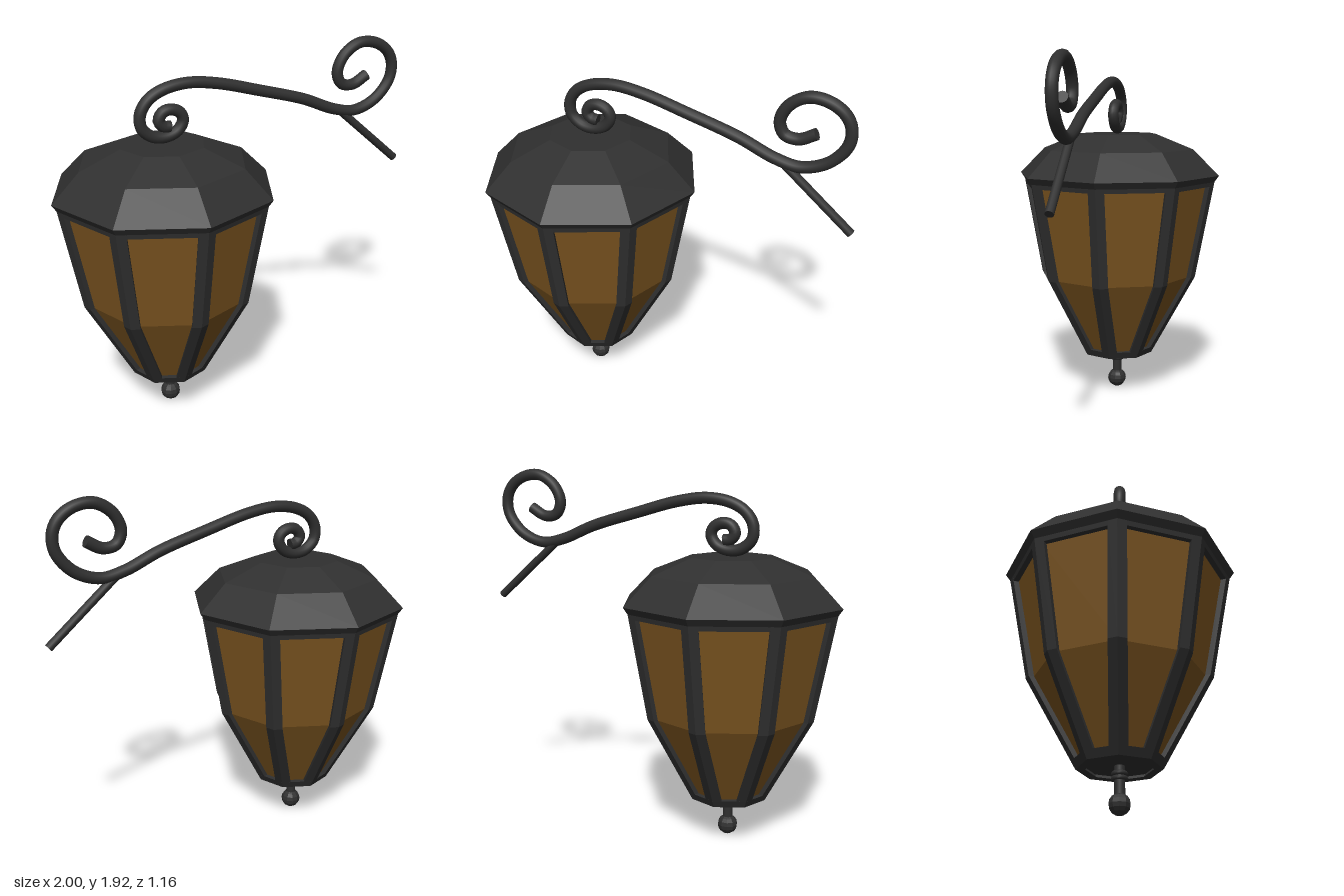
import * as THREE from 'three';

const CX = -0.42; // lantern axis
const SIDES = 8;
const metal = new THREE.MeshStandardMaterial({ color: 0x303030, flatShading: true });
const smoothMetal = new THREE.MeshStandardMaterial({ color: 0x303030 });
const amber = new THREE.MeshStandardMaterial({ color: 0x7c5520, flatShading: true });

// Corner radius of the cage at three heights: [radius, y]
const CAGE = [[0.205, 0.22], [0.455, 0.68], [0.56, 1.24]];

function add(parent, name, geometry, material, x = 0, y = 0, z = 0) {
  const mesh = new THREE.Mesh(geometry, material);
  mesh.name = name;
  mesh.position.set(x, y, z);
  parent.add(mesh);
  return mesh;
}

function lathe(points, segments = SIDES) {
  return new THREE.LatheGeometry(points.map(([r, y]) => new THREE.Vector2(r, y)), segments);
}

// Angled bar wrapping one corner of the cage, lofted through the cage heights
function postGeometry(w, d) {
  const a = Math.PI / SIDES, s = Math.sin(a), c = Math.cos(a);
  const pos = [], idx = [];
  for (const [r, y] of CAGE) {
    const section = [
      [r, 0], [r - w * s, w * c], [r - w * s - d * c, w * c - d * s],
      [r - d / c, 0], [r - w * s - d * c, -w * c + d * s], [r - w * s, -w * c],
    ];
    for (const [x, z] of section) pos.push(x, y, z);
  }
  for (let k = 0; k < CAGE.length - 1; k++) {
    for (let i = 0; i < 6; i++) {
      const j = (i + 1) % 6, lo = k * 6, hi = lo + 6;
      idx.push(lo + i, hi + i, hi + j, lo + i, hi + j, lo + j);
    }
  }
  const g = new THREE.BufferGeometry();
  g.setAttribute('position', new THREE.Float32BufferAttribute(pos, 3));
  g.setIndex(idx);
  g.computeVertexNormals();
  return g;
}

function tube(points, radius, segments) {
  const curve = new THREE.CatmullRomCurve3(points.map(([x, y]) => new THREE.Vector3(x, y, 0)));
  const group = new THREE.Group();
  add(group, 'bar', new THREE.TubeGeometry(curve, segments, radius, 12), smoothMetal);
  // Flat caps on both ends
  for (const t of [0, 1]) {
    const cap = add(group, 'barEnd', new THREE.CircleGeometry(radius, 12), smoothMetal);
    const p = curve.getPointAt(t);
    cap.position.copy(p);
    cap.lookAt(p.clone().addScaledVector(curve.getTangentAt(t), t ? 1 : -1));
  }
  return group;
}

export function createModel() {
  const model = new THREE.Group();
  model.name = 'wallLantern';

  const lantern = new THREE.Group();
  lantern.name = 'lantern';
  lantern.position.x = CX;
  model.add(lantern);

  // Faceted roof with a short turned-in rim
  add(lantern, 'roof', lathe([
    [0, 1.225], [0.555, 1.225], [0.582, 1.264], [0.436, 1.41], [0.222, 1.495], [0, 1.495],
  ]), metal);

  // Amber panes, set back behind the frame
  add(lantern, 'glass', lathe(CAGE.map(([r, y]) => [r - 0.03, y])), amber);

  // Corner posts
  const post = postGeometry(0.048, 0.035);
  for (let i = 0; i < SIDES; i++) {
    add(lantern, 'cornerPost', post, metal).rotation.y = (i * Math.PI * 2) / SIDES;
  }

  // Top and bottom rails
  add(lantern, 'topRail', lathe([
    [0.518, 1.205], [0.553, 1.205], [0.559, 1.235], [0.518, 1.235], [0.518, 1.205],
  ]), metal);
  add(lantern, 'bottomRail', lathe([
    [0.16, 0.22], [0.205, 0.22], [0.227, 0.26], [0.18, 0.26], [0.16, 0.22],
  ]), metal);
  add(lantern, 'floor', lathe([[0, 0.235], [0.19, 0.235]]), metal);

  // Finial: rod, two collars and ball
  add(lantern, 'finialRod', new THREE.CylinderGeometry(0.026, 0.026, 0.19, 12), smoothMetal, 0, 0.145, 0);
  for (const y of [0.175, 0.198]) {
    add(lantern, 'finialCollar', new THREE.TorusGeometry(0.03, 0.011, 6, 16), smoothMetal, 0, y, 0)
      .rotation.x = Math.PI / 2;
  }
  add(lantern, 'finialBall', new THREE.SphereGeometry(0.053, 10, 8), metal, 0, 0.053, 0);

  // Scrolled bracket: small curl over the roof, long arm, large curl at the wall
  const arm = tube([
    [-0.375, 1.575], [-0.41, 1.58], [-0.435, 1.61], [-0.415, 1.65], [-0.37, 1.662],
    [-0.32, 1.64], [-0.305, 1.6], [-0.335, 1.55], [-0.4, 1.525], [-0.47, 1.535],
    [-0.525, 1.585], [-0.53, 1.655], [-0.49, 1.72], [-0.41, 1.765], [-0.28, 1.785],
    [-0.12, 1.765], [0.12, 1.7], [0.38, 1.623], [0.57, 1.545], [0.7, 1.522],
    [0.83, 1.57], [0.915, 1.67], [0.925, 1.76], [0.89, 1.83], [0.81, 1.88],
    [0.71, 1.887], [0.62, 1.83], [0.583, 1.745], [0.61, 1.68], [0.68, 1.667], [0.765, 1.71],
  ], 0.03, 240);
  arm.name = 'scrollArm';
  model.add(arm);

  // Diagonal strut under the arm
  const strut = tube([[0.61, 1.53], [0.98, 1.21]], 0.022, 1);
  strut.name = 'strut';
  model.add(strut);

  return model;
}
